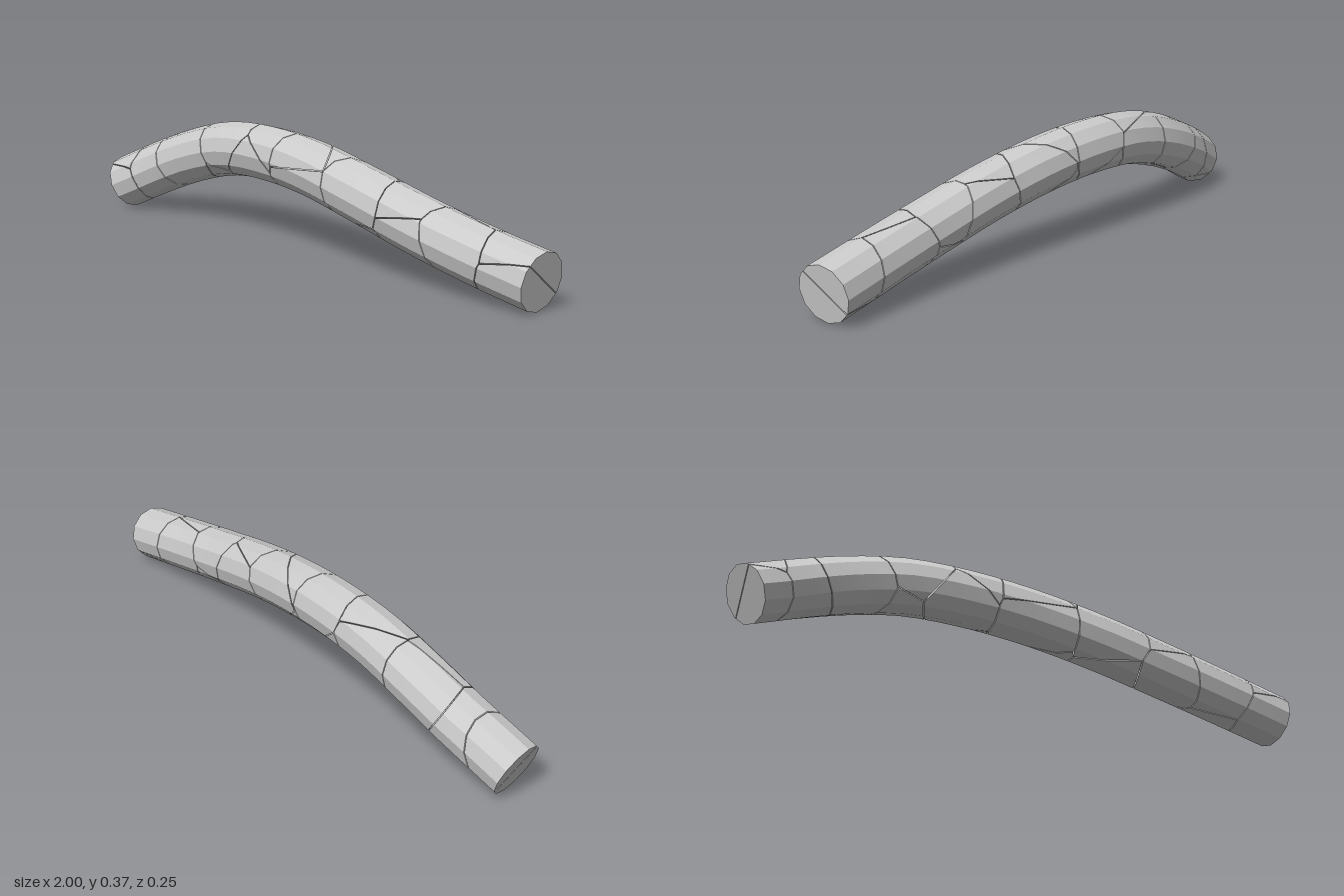
import * as THREE from 'three';
import { toCreasedNormals } from 'three/addons/utils/BufferGeometryUtils.js';

const RADIUS = 0.092, SIDES = 12, RINGS = 28, HALF_GAP = 0.0015;
const V = (x, y, z) => new THREE.Vector3(x, y, z);

// Centre line of the bent rod
const path = new THREE.CatmullRomCurve3([
  V(-0.96, 0.09, 0.023), V(-0.78, 0.17, -0.015), V(-0.6, 0.235, -0.033), V(-0.42, 0.277, -0.035),
  V(-0.22, 0.287, -0.026), V(0, 0.273, -0.01), V(0.25, 0.233, 0.013), V(0.55, 0.173, 0.028),
  V(0.8, 0.127, 0.028), V(0.985, 0.096, 0.021),
]);

// Fracture seeds: position along the rod (0..1), offset up, offset sideways
const SEEDS = [
  [0.0, -0.03, 0.05], [0.03, 0.05, -0.03], [0.09, -0.02, 0.0], [0.18, 0.0, 0.05], [0.175, 0.02, -0.06],
  [0.29, -0.02, -0.05], [0.31, 0.05, 0.03], [0.37, -0.05, 0.03], [0.405, 0.04, -0.02],
  [0.5, 0.05, 0.03], [0.51, -0.04, 0.04], [0.54, 0.01, -0.06], [0.65, 0.03, 0.04], [0.67, -0.03, -0.04],
  [0.75, 0.05, -0.01], [0.77, -0.05, 0.04], [0.85, 0.02, 0.04], [0.86, 0.0, -0.05],
  [0.97, 0.04, -0.02], [0.985, -0.04, 0.04],
];

// Point beside the centre line, in its local up/side frame
function offsetPoint(t, up, side) {
  const T = path.getTangentAt(t);
  const B = T.clone().cross(V(0, 1, 0)).normalize();
  const N = B.clone().cross(T);
  return path.getPointAt(t).addScaledVector(N, up).addScaledVector(B, side);
}

// Closed rod as a list of triangles
function rodFaces() {
  const faces = [];
  const ring = (i) => Array.from({ length: SIDES }, (_, j) => {
    const a = (j / SIDES) * Math.PI * 2;
    return offsetPoint(i / RINGS, RADIUS * Math.cos(a), RADIUS * Math.sin(a));
  });
  const rings = Array.from({ length: RINGS + 1 }, (_, i) => ring(i));
  const start = path.getPointAt(0), end = path.getPointAt(1);
  for (let j = 0; j < SIDES; j++) {
    const k = (j + 1) % SIDES;
    for (let i = 0; i < RINGS; i++) {
      const a = rings[i], b = rings[i + 1];
      faces.push([a[j], a[k], b[k]], [a[j], b[k], b[j]]);
    }
    faces.push([start, rings[0][k], rings[0][j]], [end, rings[RINGS][j], rings[RINGS][k]]);
  }
  return faces;
}

// Keep what lies behind a plane and close the cut with a fan
function clip(faces, plane) {
  const kept = [], cuts = [];
  for (const face of faces) {
    const out = [], cut = [];
    face.forEach((p, i) => {
      const q = face[(i + 1) % face.length];
      const dp = plane.distanceToPoint(p), dq = plane.distanceToPoint(q);
      if (dp <= 0) out.push(p);
      if ((dp <= 0) !== (dq <= 0)) {
        const x = p.clone().lerp(q, dp / (dp - dq));
        out.push(x);
        cut.push(x);
      }
    });
    if (out.length > 2) kept.push(out);
    if (cut.length === 2) cuts.push(cut);
  }
  if (cuts.length > 2) {
    const mid = V(0, 0, 0);
    cuts.forEach(([a, b]) => mid.add(a).add(b));
    mid.divideScalar(cuts.length * 2);
    for (const [a, b] of cuts) {
      const n = a.clone().sub(mid).cross(b.clone().sub(mid));
      kept.push(n.dot(plane.normal) > 0 ? [mid, a, b] : [mid, b, a]);
    }
  }
  return kept;
}

function toGeometry(faces) {
  const pos = [];
  for (const f of faces)
    for (let i = 1; i < f.length - 1; i++)
      for (const p of [f[0], f[i], f[i + 1]]) pos.push(p.x, p.y, p.z);
  const g = new THREE.BufferGeometry();
  g.setAttribute('position', new THREE.Float32BufferAttribute(pos, 3));
  return toCreasedNormals(g, 0.3);
}

export function createModel() {
  const group = new THREE.Group();
  group.name = 'crackedRod';
  const material = new THREE.MeshStandardMaterial({ color: 0xcccccc });
  const rod = rodFaces();
  const seeds = SEEDS.map((s) => offsetPoint(...s));

  // One fragment per seed, cut by the farthest neighbours first
  seeds.forEach((seed, i) => {
    const others = seeds.filter((s) => s !== seed)
      .sort((a, b) => b.distanceTo(seed) - a.distanceTo(seed));
    let faces = rod;
    for (const other of others) {
      const normal = other.clone().sub(seed).normalize();
      const mid = seed.clone().add(other).multiplyScalar(0.5).addScaledVector(normal, -HALF_GAP);
      faces = clip(faces, new THREE.Plane().setFromNormalAndCoplanarPoint(normal, mid));
    }
    if (!faces.length) return;
    const mesh = new THREE.Mesh(toGeometry(faces), material);
    mesh.name = `rodFragment${i + 1}`;
    group.add(mesh);
  });
  return group;
}
